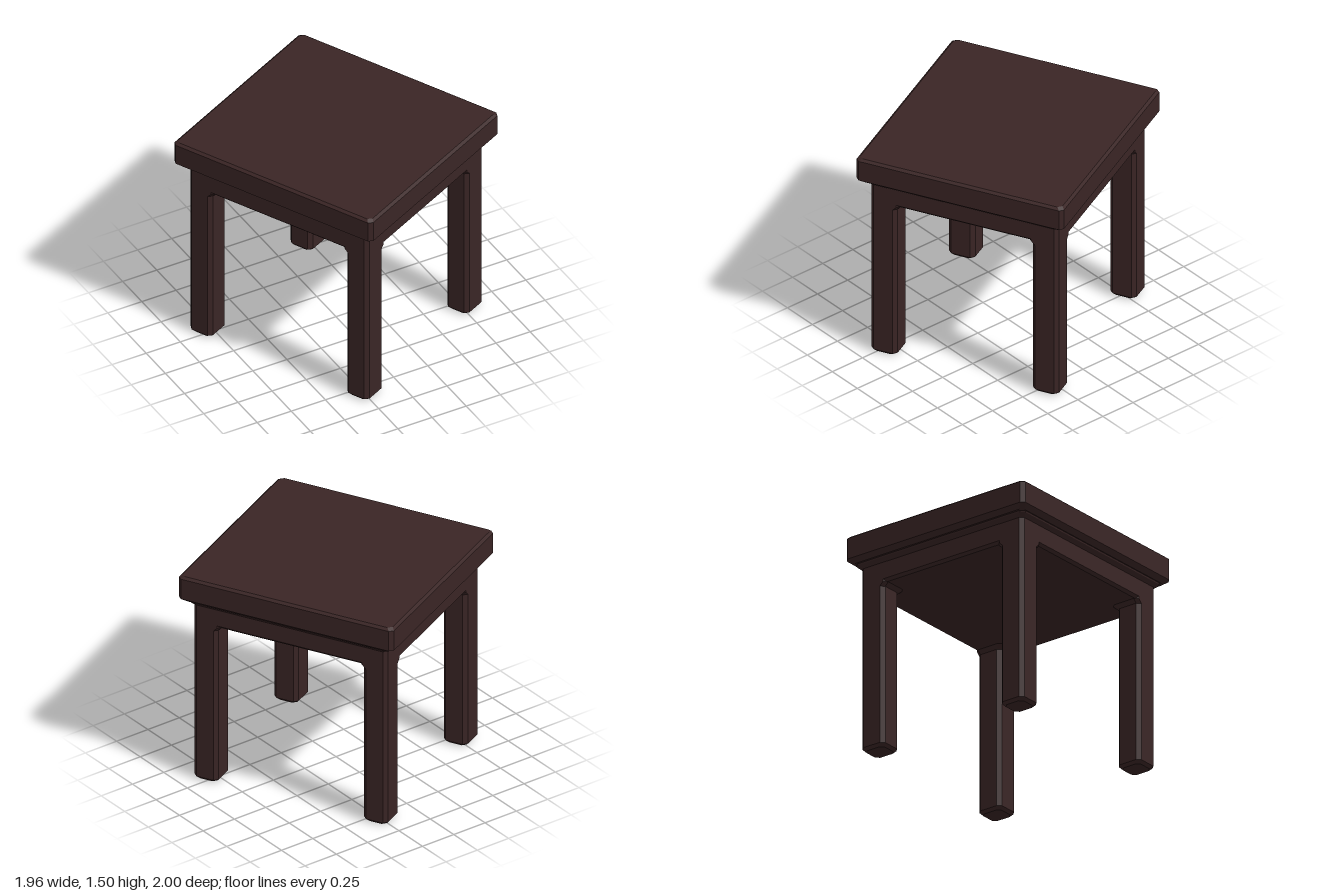
import * as THREE from 'three';

const CORNER = 0.025; // corner chamfer in plan

// Stacks chamfered rectangles [y, x0, x1, z0, z1] into a closed solid.
function chamferedStack(rings) {
  const pos = [], index = [], n = 8, c = CORNER;
  for (const [y, x0, x1, z0, z1] of rings) {
    const corners = [
      [x1, z0 + c], [x1, z1 - c], [x1 - c, z1], [x0 + c, z1],
      [x0, z1 - c], [x0, z0 + c], [x0 + c, z0], [x1 - c, z0],
    ];
    for (const [x, z] of corners) pos.push(x, y, z);
  }
  for (let r = 0; r < rings.length - 1; r++) {
    for (let i = 0; i < n; i++) {
      const a = r * n + i, b = r * n + (i + 1) % n;
      index.push(a, a + n, b + n, a, b + n, b);
    }
  }
  const top = (rings.length - 1) * n;
  for (let i = 1; i < n - 1; i++) {
    index.push(0, i, i + 1, top, top + i + 1, top + i);
  }
  const geometry = new THREE.BufferGeometry();
  geometry.setAttribute('position', new THREE.Float32BufferAttribute(pos, 3));
  geometry.setIndex(index);
  const flat = geometry.toNonIndexed();
  flat.computeVertexNormals();
  return flat;
}

// Ring centred on the table, given its half sizes and an outward offset.
const centred = (y, hx, hz, grow = 0) => [y, -hx - grow, hx + grow, -hz - grow, hz + grow];

export function createModel() {
  const table = new THREE.Group();
  table.name = 'table';
  const wood = new THREE.MeshStandardMaterial({ color: 0x3a2525 });
  wood.name = 'dark wood';
  wood.flatShading = true;

  const add = (name, geometry) => {
    const mesh = new THREE.Mesh(geometry, wood);
    mesh.name = name;
    table.add(mesh);
  };

  // Thick top slab with bevelled rims
  const TX = 0.725, TZ = 0.769;
  add('tabletop', chamferedStack([
    centred(1.312, TX, TZ, -0.035),
    centred(1.34, TX, TZ),
    centred(1.485, TX, TZ),
    centred(1.5, TX, TZ, -0.018),
  ]));

  // Solid apron, flaring into the slab
  const AX = 0.656, AZ = 0.692;
  add('apron', chamferedStack([
    centred(1.145, AX, AZ, -0.018),
    centred(1.163, AX, AZ),
    centred(1.28, AX, AZ),
    centred(1.303, AX, AZ, 0.025),
    centred(1.32, AX, AZ, 0.03),
  ]));

  // Square legs flush with the apron, flaring inward under it
  const LX = 0.183, LZ = 0.172;
  const legRing = (sx, sz, y, outer, inner) => {
    const xs = [sx * (AX + outer), sx * (AX - LX - inner)].sort((a, b) => a - b);
    const zs = [sz * (AZ + outer), sz * (AZ - LZ - inner)].sort((a, b) => a - b);
    return [y, ...xs, ...zs];
  };
  for (const sx of [-1, 1]) {
    for (const sz of [-1, 1]) {
      const name = (sz > 0 ? 'front' : 'back') + (sx > 0 ? 'Left' : 'Right') + 'Leg';
      add(name, chamferedStack([
        legRing(sx, sz, 0, -0.018, -0.018),
        legRing(sx, sz, 0.02, 0, 0),
        legRing(sx, sz, 1.12, 0, 0),
        legRing(sx, sz, 1.146, 0, 0.026),
        legRing(sx, sz, 1.165, 0, 0.026),
      ]));
    }
  }

  // The whole table stands turned on the floor
  table.rotation.y = THREE.MathUtils.degToRad(26.2);
  const model = new THREE.Group();
  model.name = 'model';
  model.add(table);
  return model;
}
